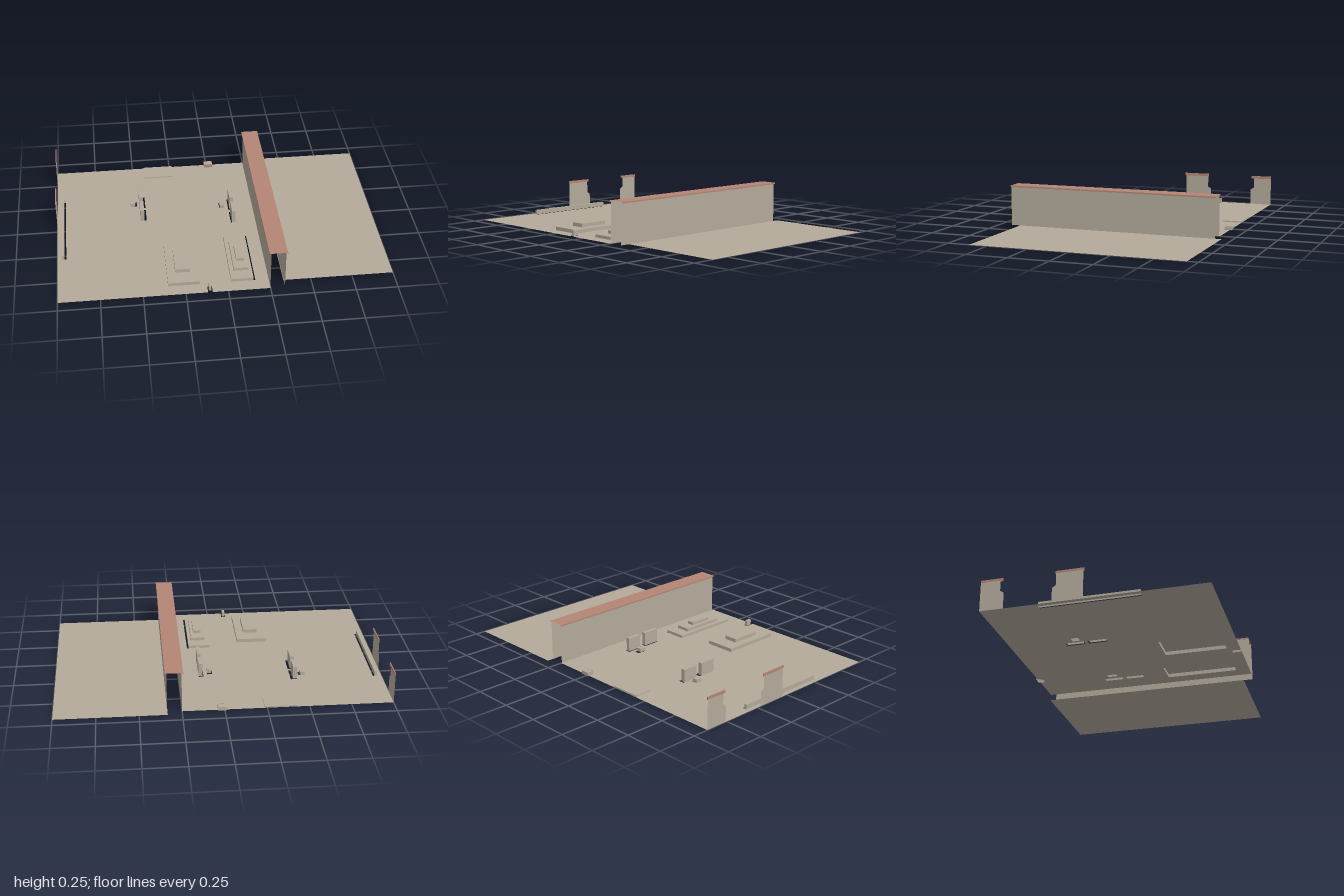
import * as THREE from 'three';

const stone = new THREE.MeshStandardMaterial({ color: 0xb3aa9b, side: THREE.DoubleSide });
stone.name = 'stone';
const clay = new THREE.MeshStandardMaterial({ color: 0xb38575, side: THREE.DoubleSide });
clay.name = 'clay';

// Outline of [x, z] points
const points = (list) => list.map(([x, z]) => new THREE.Vector2(x, -z));
const rect = (x0, x1, z0, z1) => points([[x0, z0], [x0, z1], [x1, z1], [x1, z0]]);

export function createModel() {
  const model = new THREE.Group();

  const add = (name, geometry, material = stone) => {
    const mesh = new THREE.Mesh(geometry, material);
    mesh.name = name;
    model.add(mesh);
    return mesh;
  };

  // Flat sheet lying at height y, with optional holes
  const sheet = (name, outline, y, holes = [], material = stone) => {
    const shape = new THREE.Shape(outline);
    shape.holes = holes.map((h) => new THREE.Path(h));
    add(name, new THREE.ShapeGeometry(shape).rotateX(-Math.PI / 2).translate(0, y, 0), material);
  };

  // Upright sheet facing x, outlined by [z, y] points
  const panel = (name, x, list, material = stone) => {
    const shape = new THREE.Shape(list.map(([z, y]) => new THREE.Vector2(-z, y)));
    add(name, new THREE.ShapeGeometry(shape).rotateY(Math.PI / 2).translate(x, 0, 0), material);
  };
  const strip = (z0, z1, y0, y1) => [[z0, y0], [z1, y0], [z1, y1], [z0, y1]];

  // Box from limits with its bottom left open
  const block = (name, x0, x1, y0, y1, z0, z1, material = stone) => {
    const g = new THREE.BoxGeometry(x1 - x0, y1 - y0, z1 - z0);
    const index = Array.from(g.index.array);
    index.splice(18, 6);
    g.setIndex(index);
    g.clearGroups();
    g.translate((x0 + x1) / 2, (y0 + y1) / 2, (z0 + z1) / 2);
    return add(name, g, material);
  };

  // Main floor with edge notches and openings beneath the blocks
  const floor = points([
    [-1, -0.65], [-1, 0.68], [-0.12, 0.68], [-0.12, 0.625], [-0.093, 0.625], [-0.093, 0.68],
    [0.25, 0.68], [0.25, -0.65], [0.04, -0.65], [0.04, -0.62], [-0.015, -0.62], [-0.015, -0.65],
  ]);
  sheet('mainFloor', floor, 0, [
    rect(-0.973, -0.947, -0.31, 0.28),
    rect(-0.53, -0.49, -0.262, -0.218),
    rect(-0.475, -0.437, -0.312, -0.198),
    rect(-0.475, -0.437, -0.177, -0.062),
    rect(0.037, 0.068, -0.203, -0.145),
    rect(0.093, 0.123, -0.232, -0.12),
    rect(0.093, 0.123, -0.095, 0.015),
    rect(-0.35, -0.16, 0.225, 0.6),
    rect(0.025, 0.17, 0.165, 0.597),
  ]);
  sheet('sideFloor', rect(0.335, 1, -0.685, 0.615), 0);

  // Long hollow wall with open ends and a clay cap
  for (const x of [0.25, 0.337]) panel('wallFace', x, strip(-0.645, 0.672, 0, 0.245));
  sheet('wallCap', rect(0.24, 0.347, -0.648, 0.672), 0.25, [], clay);
  for (const x of [0.24, 0.347]) panel('wallCapLip', x, strip(-0.648, 0.672, 0.241, 0.25), clay);

  // Two stepped edge panels with clay caps
  panel('backPanel', -1, [[-0.65, 0], [-0.508, 0], [-0.508, 0.1], [-0.53, 0.115], [-0.53, 0.18], [-0.65, 0.18]]);
  panel('sidePanel', -1, [[-0.222, 0], [-0.04, 0], [-0.04, 0.18], [-0.2, 0.18], [-0.2, 0.105], [-0.222, 0.09]]);
  block('backPanelCap', -1, -0.994, 0.178, 0.195, -0.65, -0.515, clay);
  block('sidePanelCap', -1, -0.994, 0.178, 0.195, -0.205, -0.035, clay);

  // Low rail and thin pad
  block('rail', -0.973, -0.957, 0, 0.028, -0.31, 0.28);
  block('pad', -0.425, -0.235, 0, 0.008, -0.648, -0.53);

  // Stepped platforms
  block('widePlatformBase', -0.35, -0.16, 0, 0.022, 0.225, 0.6);
  block('widePlatformTop', -0.3, -0.21, 0.022, 0.045, 0.32, 0.505);
  block('narrowPlatformBase', 0.025, 0.16, 0, 0.018, 0.165, 0.597);
  block('narrowPlatformMiddle', 0.05, 0.14, 0.018, 0.037, 0.24, 0.52);
  block('narrowPlatformTop', 0.073, 0.12, 0.037, 0.055, 0.31, 0.45);

  // Upright slab pairs, each with a small step beside it
  block('leftSlab', -0.475, -0.45, 0, 0.08, -0.305, -0.205);
  block('leftSlab', -0.475, -0.45, 0, 0.08, -0.165, -0.062);
  block('leftStep', -0.53, -0.503, 0, 0.022, -0.262, -0.218);
  block('rightSlab', 0.1, 0.123, 0, 0.085, -0.225, -0.135);
  block('rightSlab', 0.1, 0.123, 0, 0.085, -0.09, 0.015);
  block('rightStep', 0.04, 0.068, 0, 0.022, -0.185, -0.145);

  // Small blocks on the front and back edges
  block('frontPeg', -0.115, -0.098, 0, 0.033, 0.628, 0.665);
  block('backPeg', -0.015, 0.04, 0, 0.022, -0.66, -0.621);
  add('backPegFace', new THREE.PlaneGeometry(0.055, 0.022).translate(0.0125, 0.011, -0.619), clay);

  return model;
}
